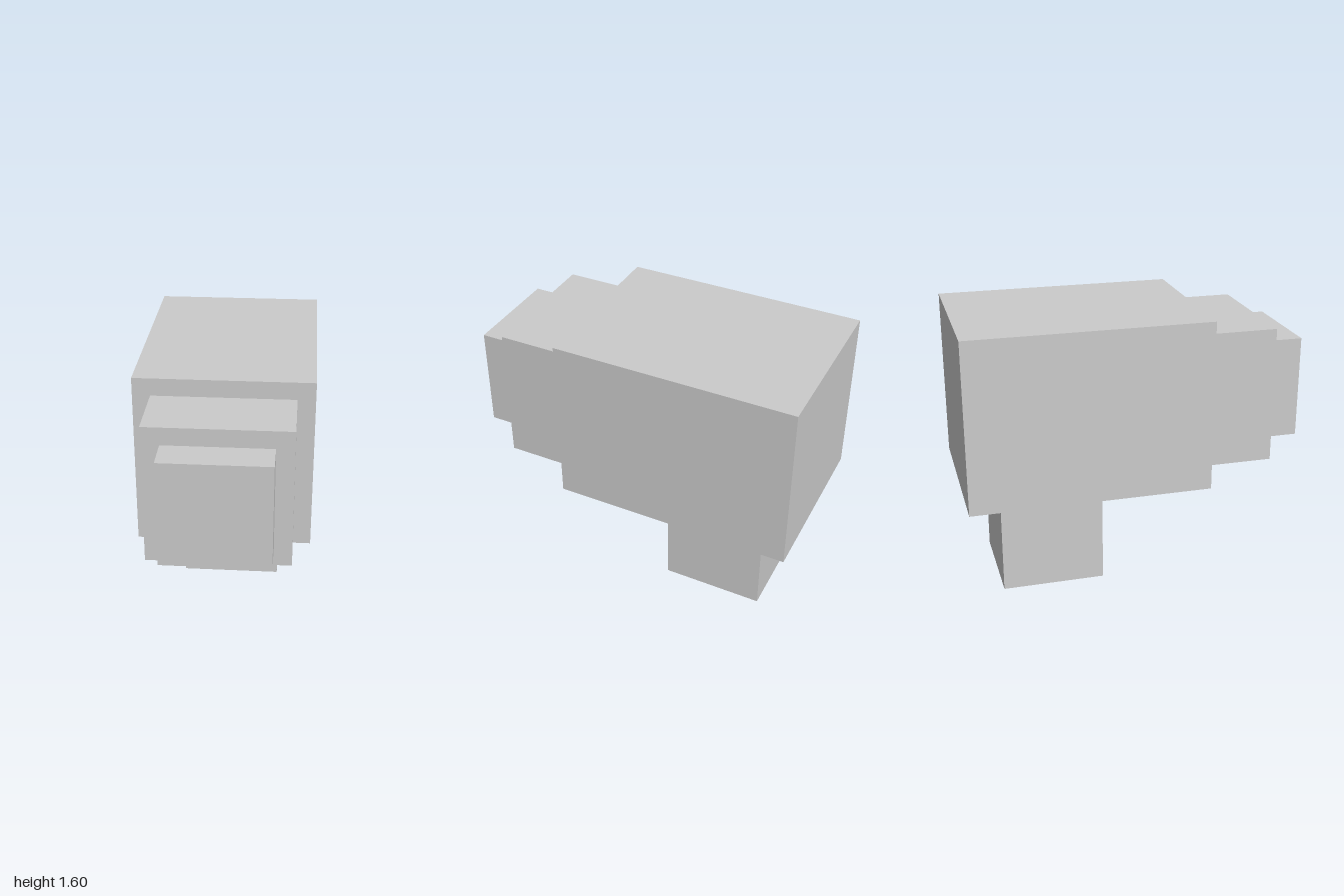
import * as THREE from 'three';

export function createModel() {
  const model = new THREE.Group();
  const material = new THREE.MeshStandardMaterial({ color: 0xcccccc, flatShading: true });

  // Adds a named box by its size and centre, always centred on x = 0
  const addBox = (name, [width, height, depth], y, z) => {
    const mesh = new THREE.Mesh(new THREE.BoxGeometry(width, height, depth), material);
    mesh.name = name;
    mesh.position.set(0, y, z);
    model.add(mesh);
  };

  // Main block, with two stepped blocks narrowing towards the front
  addBox('body', [1, 1, 1.4], 1.1, -0.3);
  addBox('frontStep', [0.8, 0.8, 0.4], 1.1, 0.6);
  addBox('frontTip', [0.6, 0.6, 0.2], 1.1, 0.9);

  // Post under the rear half
  addBox('post', [0.6, 0.6, 0.6], 0.3, -0.5);

  return model;
}
